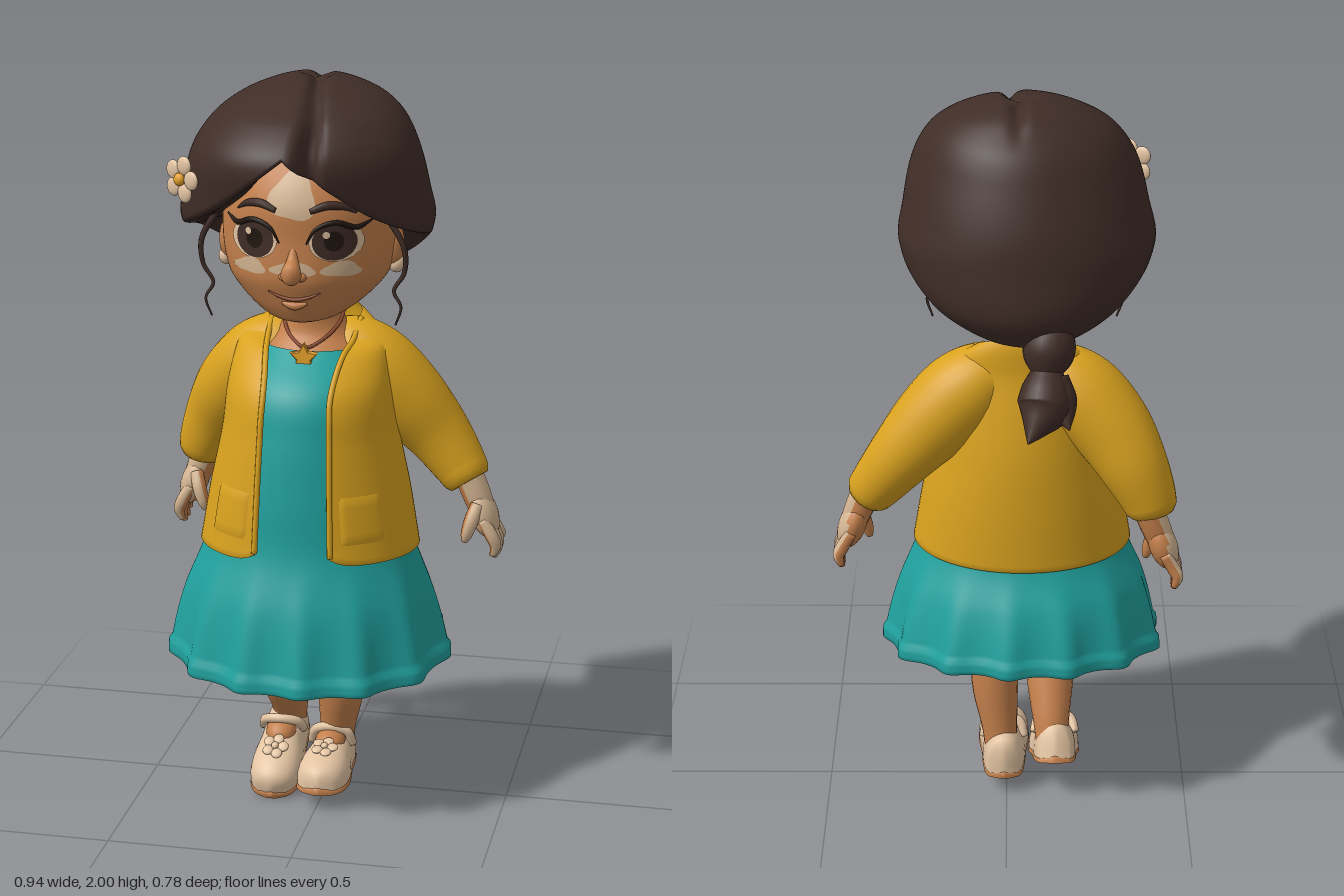
import * as THREE from 'three';
import { mergeVertices } from 'three/addons/utils/BufferGeometryUtils.js';

const mat = (name, color, side = THREE.FrontSide) => {
  const m = new THREE.MeshStandardMaterial({ color, side });
  m.name = name;
  return m;
};
const V = (x, y, z) => new THREE.Vector3(x, y, z);
const { smoothstep } = THREE.MathUtils;

// Grid surface from f(u, v) -> [x, y, z]; u runs around, v runs along
function surf(nu, nv, f) {
  const pos = [], idx = [], w = nu + 1;
  for (let j = 0; j <= nv; j++) for (let i = 0; i <= nu; i++) pos.push(...f(i / nu, j / nv, j));
  for (let j = 0; j < nv; j++) for (let i = 0; i < nu; i++) {
    const a = j * w + i, b = a + w;
    idx.push(a, b, a + 1, b, b + 1, a + 1);
  }
  let g = new THREE.BufferGeometry();
  g.setAttribute('position', new THREE.Float32BufferAttribute(pos, 3));
  g.setIndex(idx);
  g = mergeVertices(g, 1e-5);
  g.computeVertexNormals();
  return g;
}

// Smooth interpolation of rows whose first number falls from row to row
function at(rows, y) {
  const i = rows.findIndex((r, k) => k >= rows.length - 2 || y >= rows[k + 1][0]);
  const a = rows[i], b = rows[i + 1], p = rows[i - 1] || a, n = rows[i + 2] || b;
  const h = b[0] - a[0], t = (y - a[0]) / h, t2 = t * t, t3 = t2 * t;
  return a.map((_, k) => {
    const m0 = (b[k] - p[k]) / (b[0] - p[0]) * h, m1 = (n[k] - a[k]) / (n[0] - a[0]) * h;
    return (2 * t3 - 3 * t2 + 1) * a[k] + (t3 - 2 * t2 + t) * m0 + (3 * t2 - 2 * t3) * b[k] + (t3 - t2) * m1;
  });
}
// Point on the ellipse at height y of rows [y, cx, cz, rx, rz]
function ring(rows, phi, y, s = 1) {
  const [, cx, cz, rx, rz] = at(rows, y);
  return [cx + s * Math.max(0, rx) * Math.sin(phi), y, cz + s * Math.max(0, rz) * Math.cos(phi)];
}
const TAU = Math.PI * 2;
const loft = (rows, nu = 48, nv = 40) => surf(nu, nv, (u, v) =>
  ring(rows, u * TAU, THREE.MathUtils.lerp(rows[0][0], rows[rows.length - 1][0], v)));

// Round limb through points [x, y, z, radius]
function limb(pts, nu = 20, n = 24) {
  const c = new THREE.CatmullRomCurve3(pts.map(p => V(p[0], p[1], p[2])));
  const rad = new THREE.CatmullRomCurve3(pts.map((p, i) => V(p[3], i, 0)), false, 'catmullrom');
  const fr = c.computeFrenetFrames(n);
  return surf(nu, n + 2, (u, v, j) => {
    const k = Math.min(n, Math.max(0, j - 1));
    const r = j === 0 || j === n + 2 ? 0 : rad.getPoint(c.getUtoTmapping(k / n)).x;
    const a = (u % 1) * TAU;
    return c.getPointAt(k / n).addScaledVector(fr.normals[k], r * Math.cos(a))
      .addScaledVector(fr.binormals[k], -r * Math.sin(a)).toArray();
  });
}

// Sort triangles into two material groups by facing direction
function twoTone(g, dir) {
  const p = g.attributes.position, ix = g.index.array, sets = [[], []];
  for (let i = 0; i < ix.length; i += 3) {
    const [a, b, c] = [0, 1, 2].map(k => V().fromBufferAttribute(p, ix[i + k]));
    const n = b.sub(a).cross(c.sub(a));
    sets[n.dot(dir) > 0 ? 0 : 1].push(ix[i], ix[i + 1], ix[i + 2]);
  }
  g.setIndex(sets.flat());
  g.addGroup(0, sets[0].length, 0);
  g.addGroup(sets[0].length, sets[1].length, 1);
  return g;
}

export function createModel() {
  const root = new THREE.Group();
  const skin = mat('skin', 0xc4804c), pale = mat('paleSkin', 0xd4b592), hair = mat('hair', 0x402d27),
    yellow = mat('cardiganYellow', 0xd9a21f, THREE.DoubleSide), teal = mat('dressTeal', 0x20a09d, THREE.DoubleSide),
    cream = mat('cream', 0xe3c4a2), dark = mat('lashDark', 0x20150f), lip = mat('lip', 0x8a4a30), gold = mat('gold', 0xe8a32a);
  const add = (name, geo, m, parent = root) => {
    const o = new THREE.Mesh(geo, m);
    o.name = name;
    parent.add(o);
    return o;
  };
  const ball = (name, m, p, s, parent) => {
    const o = add(name, new THREE.SphereGeometry(1, 24, 16), m, parent);
    o.position.set(...p);
    o.scale.set(...s);
    return o;
  };

  // Head and neck
  const C = -0.042;
  const head = [[1.88, C, .03, 0, 0], [1.86, C, .03, .08, .08], [1.8, C, .03, .17, .17], [1.7, C, .03, .224, .225],
    [1.6, C, .035, .232, .224], [1.5, C, .045, .215, .215], [1.45, C, .062, .18, .182], [1.4, C, .1, .118, .122],
    [1.377, C, .125, .065, .075], [1.367, C, .14, 0, 0]];
  add('head', loft(head, 72, 70), skin);
  add('neck', loft([[1.46, C, -.01, .08, .08], [1.36, C, -.01, .075, .075], [1.31, C, -.015, .1, .085],
    [1.27, C, 0, .13, .1], [1.2, C, .03, .15, .12]]), skin);
  const faceZ = (x, y) => {
    const [, cx, cz, rx, rz] = at(head, y);
    return cz + rz * Math.sqrt(Math.max(0, 1 - ((x - cx) / rx) ** 2));
  };
  const decal = (name, m, x, y, rx, ry, off, wob = 0) => add(name, surf(32, 6, (u, v) => {
    const a = -u * TAU, k = v * (1 + wob * Math.sin(3 * a + 1));
    const px = x + rx * k * Math.sin(a), py = y + ry * k * Math.cos(a);
    return [px, py, faceZ(px, py) + off];
  }), m);
  const faceLine = (name, m, pts, off = .003) =>
    add(name, limb(pts.map(([x, y, r]) => [x, y, faceZ(x, y) + off, r]), 10, 20), m);

  // Pale patches, nose and mouth
  decal('foreheadPatch', pale, -.045, 1.715, .06, .06, .002, .15);
  decal('nosePatch', pale, C, 1.53, .06, .018, .002, .12);
  add('nose', limb([[C, 1.6, .243, .008], [C, 1.555, .26, .015], [C, 1.522, .28, .027], [C, 1.505, .266, .018]], 20, 16), skin);
  for (const s of [-1, 1]) ball('nostril', skin, [C + s * .022, 1.512, .262], [.014, .012, .018]);
  faceLine('mouth', lip, [[-.11, 1.468, .002], [-.08, 1.455, .004], [C, 1.448, .005], [-.004, 1.455, .004], [.026, 1.468, .002]]);
  faceLine('lowerLip', skin, [[-.075, 1.437, .004], [C, 1.43, .011], [-.01, 1.437, .004]], .002);

  // Eyes, brows, ears and earrings, mirrored about the middle of the face
  for (const s of [-1, 1]) {
    const X = d => C + s * d;
    decal('cheekPatch', pale, X(.12), 1.53, .046, .02, .002, .15);
    decal('eyeWhite', cream, X(.107), 1.602, .066, .05, .004);
    decal('iris', hair, X(.104), 1.603, .054, .048, .006);
    decal('pupil', dark, X(.104), 1.605, .024, .026, .0075);
    decal('eyeGlint', cream, X(.104) - .018, 1.622, .009, .009, .009);
    faceLine('upperLash', dark, [[X(.035), 1.598, .002], [X(.06), 1.637, .005], [X(.107), 1.653, .007],
      [X(.155), 1.637, .007], [X(.19), 1.652, .002]], .005);
    faceLine('eyebrow', hair, [[X(.045), 1.682, .007], [X(.085), 1.696, .011], [X(.125), 1.692, .009], [X(.155), 1.675, .003]], .004);
    ball('ear', skin, [X(.222), 1.555, .03], [.026, .06, .04]);
    ball('earring', cream, [X(.228), 1.508, .035], [.022, .025, .024]);
    const strand = [[.21, 1.66, .12], [.262, 1.57, .12], [.262, 1.5, .11], [.235, 1.45, .11], [.255, 1.41, .115], [.24, 1.36, .11]];
    add('looseStrand', limb(strand.map(([x, y, z], i) => [X(x + (s < 0 ? .012 : 0)), y, z, .009 - i * .0013]), 8, 40), hair);
  }

  // Hair: a swept cap with a parting and a hem that drops towards the back
  const cap = [[2, -.035, .01, 0, 0], [1.997, -.035, .012, .05, .05], [1.98, -.035, .02, .118, .118], [1.95, -.035, .035, .187, .18],
    [1.9, -.04, .058, .248, .255], [1.82, -.046, .073, .294, .31], [1.71, -.05, .045, .321, .322], [1.62, -.053, .018, .334, .31],
    [1.5, -.053, -.02, .28, .28], [1.42, -.06, -.03, .2, .23]];
  const hem = [[0, 1.835], [-33, 1.705], [-50, 1.655], [-75, 1.61], [-100, 1.575], [-125, 1.49], [-150, 1.44], [-180, 1.425]];
  add('hairCap', surf(144, 64, (u, v, j) => {
    const phi = u * TAU, deg = Math.min(phi, TAU - phi) * 180 / Math.PI;
    const edge = at(hem, -deg)[1], fold = Math.max(0, j - 58) / 6;
    const t = Math.min(1, j / 58), y = 2 - (2 - edge) * (0.7 * t * t + 0.3 * t);
    const p = ring(cap, phi, y, 1 - .34 * fold * fold - .02 * fold);
    p[1] += .02 * Math.sin(fold * Math.PI / 2) - .02 * Math.sin(fold * Math.PI);
    const d = p[0] + .03 - .04 * smoothstep(p[2], -.1, .33), front = smoothstep(p[2], .1, .4);
    const crease = Math.exp(-((d / .02) ** 2));
    p[1] -= .024 * crease * smoothstep(p[2], -.2, -.02) * (1 - .7 * front);
    p[2] -= front * (.05 * crease + .045 * smoothstep(d, -.02, .02));
    return p;
  }), hair);
  add('hairTie', limb([[-.11, 1.48, -.2, .04], [-.11, 1.43, -.235, .066], [-.105, 1.385, -.255, .062], [-.1, 1.345, -.275, .03]]), hair);
  add('ponytail', limb([[-.105, 1.37, -.26, .035], [-.1, 1.32, -.285, .062], [-.095, 1.275, -.31, .068], [-.075, 1.24, -.35, .035], [-.055, 1.212, -.388, .002]]), hair);
  add('ponytailLock', limb([[-.12, 1.34, -.27, .04], [-.14, 1.28, -.3, .042], [-.16, 1.235, -.355, .002]]), hair);

  // Five-petal flower, used in the hair and on the shoes
  const flower = (name, r, parent, heart) => {
    const g = new THREE.Group();
    g.name = name;
    for (let i = 0; i < 5; i++) {
      const a = i * TAU / 5 + .3;
      ball('petal', cream, [r * .6 * Math.sin(a), r * .6 * Math.cos(a), 0], [r * .4, r * .4, r * .16], g);
    }
    ball('flowerHeart', heart, [0, 0, r * .12], [r * .27, r * .27, r * .2], g);
    parent.add(g);
    return g;
  };
  const hf = flower('hairFlower', .062, root, gold);
  hf.position.set(-.335, 1.75, .245);
  hf.rotation.y = -.6;

  // Dress with a pleated skirt and a rolled hem
  const dress = [[1.275, C, 0, .132, .104], [1.18, C, .04, .19, .175], [1.06, C, .05, .215, .2], [.9, C, .053, .25, .218],
    [.75, C, .055, .283, .23], [.6, -.045, .05, .335, .285], [.44, -.045, .045, .366, .32], [.4, -.045, .045, .368, .324]];
  add('dress', surf(168, 80, (u, v, j) => {
    const phi = u * TAU, y = 1.275 - .875 * Math.min(1, j / 76), inside = Math.max(0, j - 76);
    const k = smoothstep(-y, -.78, -.4), wave = Math.sin(13 * phi + .8 * Math.sin(2 * phi));
    const roll = y < .435 ? .02 : 0;
    const p = ring(dress, phi, y, 1 + .035 * k * (wave + .3 * wave * wave) + roll - inside * .012);
    p[1] += k * .07 * ((1 - Math.cos(phi)) / 2) ** 1.6 + inside * .005;
    return p;
  }), teal);

  // Cardigan body, open down the front, its neckline lower at the front than at the nape
  const coat = [[1.385, C, -.055, .118, .066], [1.36, C, -.04, .148, .088], [1.32, C, -.018, .182, .112], [1.28, C, .004, .203, .136],
    [1.18, C, .043, .222, .197], [1.05, C, .047, .238, .223], [.9, C, .05, .27, .237], [.74, C, .055, .298, .246]];
  const gap = y => Math.asin(Math.min(.97, (y > 1.2 ? .088 + (y - 1.2) * .2 : .088 + (1.2 - y) * .03) / at(coat, y)[3]));
  const coatPoint = (phi, y, s = 1) => {
    const p = ring(coat, phi, y, s);
    p[1] -= .045 * smoothstep(y, 1.26, 1.385) * (1 + Math.cos(phi)) / 1.28;
    return p;
  };
  add('cardigan', surf(72, 42, (u, v, j) => {
    const y = 1.385 - .645 * Math.min(1, j / 40), a = gap(y);
    const p = coatPoint(a + (TAU - 2 * a) * u, y, 1 - .025 * Math.max(0, j - 40));
    p[1] += j >= 39 ? .02 * Math.abs(2 * u - 1) ** 30 : 0;
    return p;
  }), yellow);
  for (const s of [-1, 1]) {
    const edge = Array.from({ length: 13 }, (_, i) => {
      const y = 1.38 - .615 * i / 12;
      return [...coatPoint(s * gap(y), y, 1.005), .008];
    });
    add('cardiganTrim', limb(edge, 8, 48), yellow);
    add('pocket', surf(12, 8, (u, v) => {
      const rim = u === 0 || u === 1 || v === 0 || v === 1;
      return coatPoint(s * .7 + (u - .5) * .5, .93 - .14 * v, rim ? .99 : 1.015);
    }), yellow);
  }

  // Sleeves and hands: pale on the outside, darker on the palm side
  const sleeves = {
    '1': [[.0, 1.275, -.045, .07], [.06, 1.245, -.04, .1], [.12, 1.2, -.04, .113], [.2, 1.12, -.05, .108], [.28, 1.03, -.06, .09], [.345, .945, -.05, .074], [.37, .91, -.04, .066], [.378, .898, -.037, .056]],
    '-1': [[-.084, 1.275, -.045, .07], [-.144, 1.245, -.045, .1], [-.204, 1.2, -.055, .113], [-.278, 1.12, -.085, .108], [-.335, 1.03, -.12, .093], [-.375, .945, -.135, .077], [-.386, .91, -.14, .069], [-.389, .897, -.142, .058]],
  };
  for (const s of [1, -1]) {
    add('sleeve', limb(sleeves[s], 28, 32), yellow);
    const dz = s > 0 ? 0 : -.125, out = V(s, 0, .6), hand = new THREE.Group();
    hand.name = 'hand';
    root.add(hand);
    const piece = (name, pts) => add(name, twoTone(limb(pts.map(([x, y, z, r]) =>
      [s * x, y, z + dz, r]), 12, 12), out), [pale, skin], hand);
    piece('wrist', [[.37, .93, -.035, .04], [.395, .87, -.035, .04], [.415, .82, -.035, .036]]);
    const palm = new THREE.SphereGeometry(1, 20, 14).scale(.038, .072, .055).rotateZ(s * .35).translate(s * .418, .812, -.035 + dz);
    add('palm', twoTone(palm, out), [pale, skin], hand);
    for (let i = 0; i < 4; i++) {
      const z = .005 - i * .028, drop = [.012, 0, .004, .02][i];
      piece('finger', [[.42, .805, z, .016], [.446, .76, z, .018], [.456, .72 + drop, z - .005, .016], [.448, .69 + drop, z - .008, .008]]);
    }
    piece('thumb', [[.405, .845, .0, .018], [.392, .805, .02, .02], [.38, .765, .024, .016], [.375, .745, .022, .008]]);
  }

  // Necklace with a star
  add('necklaceCord', limb([[-.12, 1.365, -.03, .005], [-.115, 1.335, .03, .005], [-.085, 1.305, .083, .005], [C, 1.285, .107, .005],
    [.001, 1.305, .083, .005], [.031, 1.335, .03, .005], [.036, 1.365, -.03, .005]], 8, 40), lip);
  const star = new THREE.Shape(Array.from({ length: 10 }, (_, i) => {
    const r = i % 2 ? .018 : .036, a = -i * TAU / 10;
    return new THREE.Vector2(r * Math.sin(a), r * Math.cos(a));
  }));
  add('starPendant', new THREE.ExtrudeGeometry(star, { depth: .012, bevelSize: .003, bevelThickness: .003, bevelSegments: 1 }), gold)
    .position.set(C, 1.264, .122);

  // Legs: one straight, one stepping back
  add('leg', limb([[.035, .72, .05, .075], [.035, .42, .02, .07], [.032, .28, 0, .064], [.02, .17, -.02, .05], [.015, .09, -.03, .045]]), skin);
  add('leg', limb([[-.12, .72, .1, .075], [-.122, .42, .075, .072], [-.122, .3, .01, .065], [-.125, .2, -.055, .05], [-.13, .13, -.08, .045]]), skin);

  // Shoes: rows [-z, half width, height] from heel to toe
  const shoeRows = [[.112, .012, .07], [.1, .042, .098], [.05, .056, .108], [-.03, .062, .09], [-.1, .071, .082], [-.16, .066, .07], [-.195, .044, .054], [-.208, .012, .035]];
  const shoeForm = (grow, top) => surf(32, 34, (u, v, j) => {
    const k = Math.min(32, Math.max(0, j - 1)) / 32, a = u * TAU;
    const r = at(shoeRows, .112 - .32 * k), open = j === 0 || j === 34 ? 0 : 1;
    return [-open * r[1] * grow * Math.cos(a), open * (top || r[2]) * Math.max(0, Math.sin(a)) ** .7, -r[0] * (top ? 1.02 : 1)];
  });
  for (const [x, y, z, tilt] of [[.008, .05, 0, 0], [-.135, .08, -.045, .38]]) {
    const shoe = new THREE.Group();
    shoe.name = 'shoe';
    shoe.position.set(x, y, z);
    shoe.rotation.x = tilt;
    root.add(shoe);
    add('shoeUpper', shoeForm(1, 0), cream, shoe).position.y = .012;
    add('shoeSole', shoeForm(1.02, .02), skin, shoe);
    ball('instep', skin, [0, .085, .03], [.042, .034, .05], shoe);
    add('shoeStrap', limb([[-.058, .07, .0, .012], [-.045, .11, .015, .013], [0, .125, .025, .013], [.045, .11, .015, .013], [.058, .07, .0, .012]], 10, 24), cream, shoe);
    const f = flower('shoeFlower', .038, shoe, cream);
    f.position.set(0, .1, .108);
    f.rotation.x = -1.25;
  }
  return root;
}
